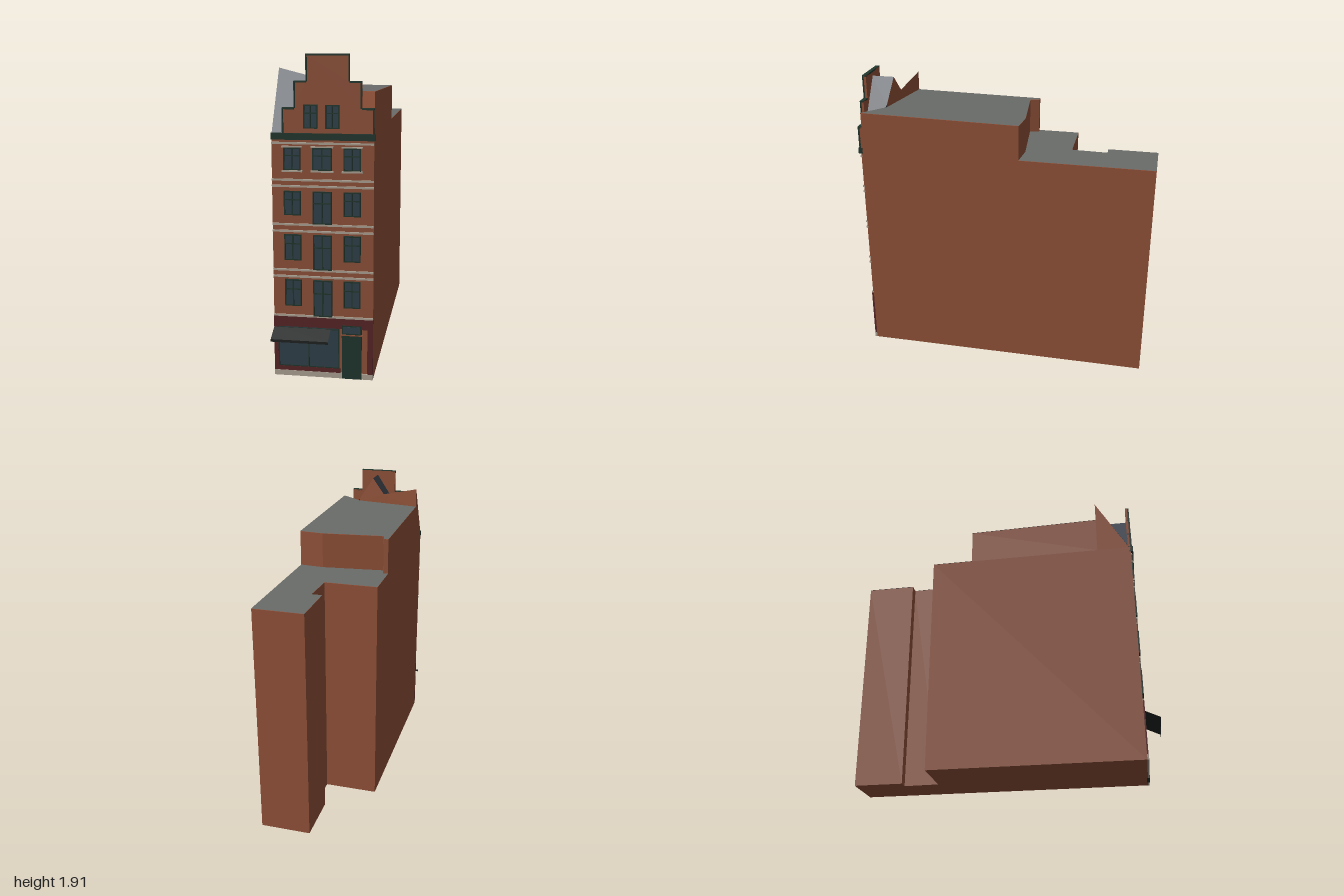
import * as THREE from 'three';

const mat = (color) => new THREE.MeshStandardMaterial({ color, side: THREE.DoubleSide, flatShading: true });

export function createModel() {
  const house = new THREE.Group();
  house.name = 'townHouse';

  const brick = mat(0x96553b), roofGrey = mat(0x6a6c6a), slate = mat(0x454b55), green = mat(0x22382f);
  const glass = mat(0x33444e), stone = mat(0xb5aa9a), red = mat(0x5c282a), cloth = mat(0x222424);

  const add = (name, geometry, material, parent = house) => {
    const mesh = new THREE.Mesh(geometry, material);
    mesh.name = name;
    parent.add(mesh);
    return mesh;
  };

  // Box given by its limits
  const box = (name, x0, x1, y0, y1, z0, z1, material, parent) => {
    const g = new THREE.BoxGeometry(x1 - x0, y1 - y0, z1 - z0);
    g.translate((x0 + x1) / 2, (y0 + y1) / 2, (z0 + z1) / 2);
    return add(name, g, material, parent);
  };

  // Flat polygon from its corners, as a fan
  const polygon = (name, corners, material) => {
    const g = new THREE.BufferGeometry();
    g.setAttribute('position', new THREE.Float32BufferAttribute(corners.flat(), 3));
    const index = [];
    for (let i = 1; i < corners.length - 1; i++) index.push(0, i, i + 1);
    g.setIndex(index);
    g.computeVertexNormals();
    return add(name, g, material);
  };

  // Upright block over an (x, z) plan with a grey roof; the roof may fall to the back
  const block = (name, plan, y0, y1, fall = 0) => {
    const shape = new THREE.Shape(plan.map(([x, z]) => new THREE.Vector2(x, -z)));
    const walls = new THREE.ExtrudeGeometry(shape, { depth: y1 - y0, bevelEnabled: false });
    const cover = new THREE.ShapeGeometry(shape);
    cover.translate(0, 0, y1 - y0 + 0.002);
    for (const g of [walls, cover]) {
      g.rotateX(-Math.PI / 2).translate(0, y0, 0);
      const p = g.attributes.position;
      for (let i = 0; i < p.count; i++) {
        if (p.getY(i) > y1 - 0.001) p.setY(i, p.getY(i) - fall * (0.885 - p.getZ(i)));
      }
      g.computeVertexNormals();
    }
    add(name + 'Walls', walls, brick);
    add(name + 'Roof', cover, roofGrey);
  };

  const L = -0.3, R = 0.295, F = 0.9;

  // Lower block with the rear wing, and the taller front part on it
  block('main', [[L, F], [R, F], [R, -1], [-0.02, -1], [-0.02, -0.68], [0.045, -0.68],
    [0.037, -0.45], [L, -0.45]], 0, 1.463);
  block('upper', [[L, 0.68], [0.14, 0.76], [R, 0.885], [R, -0.145], [0.14, -0.16],
    [-0.255, -0.12], [-0.27, -0.18], [L, -0.18]], 1.463, 1.705, 0.014);

  // Slate slopes behind the gable, with their brick back and side
  const apex = [L, 1.83, 0.68], valley = [-0.05, 1.77, 0.725], foot = [-0.235, 1.47, 0.89];
  const ridgeFront = [0.035, 1.88, 0.89], ridgeBack = [0.035, 1.88, 0.74], hip = [0.14, 1.72, 0.76];
  polygon('frontSlope', [[L, 1.465, 0.89], foot, valley, apex], slate);
  polygon('dormerSlopeLeft', [ridgeFront, ridgeBack, hip, [R, 1.49, 0.885]], slate);
  polygon('dormerSlopeRight', [foot, ridgeFront, ridgeBack, valley], slate);
  polygon('slopeBack', [valley, apex, [L, 1.69, 0.68], [0.14, 1.69, 0.76], hip, ridgeBack], brick);
  polygon('slopeSide', [[L, 1.463, 0.89], apex, [L, 1.463, 0.68]], brick);

  // Stepped gable with dark copings
  const cx = 0.03, z0 = 0.885;
  const steps = [[0.265, 1.61], [0.195, 1.76], [0.125, 1.91]];
  const outline = [];
  let base = 1.463;
  for (const [w, top] of steps) {
    outline.push([cx + w, base], [cx + w, top]);
    base = top;
  }
  const mirrored = outline.map(([x, y]) => [2 * cx - x, y]).reverse();
  const gableShape = new THREE.Shape([...outline, ...mirrored].map(([x, y]) => new THREE.Vector2(x, y)));
  const gable = new THREE.ExtrudeGeometry(gableShape, { depth: F - z0, bevelEnabled: false });
  gable.translate(0, 0, z0);
  add('gable', gable, brick);

  const copings = new THREE.Group();
  copings.name = 'gableCopings';
  house.add(copings);
  const t = 0.007;
  base = 1.463;
  steps.forEach(([w, top], i) => {
    const inner = i < 2 ? steps[i + 1][0] : 0;
    for (const s of [-1, 1]) {
      const a = cx + s * inner, b = cx + s * w, c = cx + s * (w - t);
      box('copingTop', Math.min(a, b), Math.max(a, b), top - t, top + 0.003, z0, 0.911, green, copings);
      box('copingSide', Math.min(b, c), Math.max(b, c), base, top, F - 0.002, 0.911, green, copings);
    }
    base = top;
  });

  // Cornice and stone bands
  box('cornice', L, 0.3, 1.43, 1.468, F - 0.01, 0.916, green);
  for (const y of [1.41, 1.197, 1.16, 0.934, 0.894, 0.66, 0.62, 0.378]) {
    box('stoneBand', L, R, y - 0.006, y + 0.006, F - 0.005, 0.908, stone);
  }

  // Window: glass, frame and glazing bars
  const windowUnit = (name, x0, x1, y0, y1, bar = 0.62) => {
    const g = new THREE.Group();
    g.name = name;
    house.add(g);
    const f = 0.007, mx = (x0 + x1) / 2, my = y0 + (y1 - y0) * bar;
    box('glass', x0, x1, y0, y1, F - 0.005, 0.904, glass, g);
    for (const x of [x0, x1 - f, mx - f / 2]) box('upright', x, x + f, y0, y1, F, 0.911, green, g);
    for (const y of [y0, y1 - f, my]) box('rail', x0, x1, y, y + f, F, 0.911, green, g);
  };

  const columns = [[-0.23, -0.13], [-0.06, 0.052], [0.12, 0.22]];
  const rows = [[0.44, 0.38, 0.602], [0.72, 0.665, 0.875], [0.99, 0.94, 1.132], [1.255, 1.255, 1.385]];
  rows.forEach(([low, midLow, top], r) => columns.forEach(([a, b], c) => {
    windowUnit('window', a, b, c === 1 ? midLow : low, top);
    if (r === 3) {
      box('sill', a - 0.01, b + 0.01, 1.244, 1.254, F - 0.005, 0.912, stone);
      box('lintel', a - 0.01, b + 0.01, 1.386, 1.394, F - 0.005, 0.912, stone);
    }
  }));
  windowUnit('gableWindow', -0.11, -0.03, 1.495, 1.63);
  windowUnit('gableWindow', 0.015, 0.096, 1.495, 1.63);

  // Shop front
  box('plinth', L, R, 0, 0.033, F - 0.005, 0.911, stone);
  box('shopFascia', L, R, 0.31, 0.372, F - 0.005, 0.909, red);
  box('shopPostRight', L, -0.275, 0.033, 0.31, F - 0.005, 0.909, red);
  box('shopPostLeft', 0.262, R, 0.033, 0.31, F - 0.005, 0.909, red);
  box('stallRiser', L, 0.1, 0.033, 0.06, F - 0.005, 0.909, red);
  box('shopGlass', -0.275, 0.095, 0.06, 0.31, F - 0.005, 0.904, glass);
  for (const x of [-0.275, -0.093, 0.088]) box('shopMullion', x, x + 0.007, 0.06, 0.31, F, 0.908, green);
  for (const y of [0.06, 0.299]) box('shopRail', -0.275, 0.095, y, y + 0.006, F, 0.908, green);

  // Door and the light above it
  box('door', 0.11, 0.228, 0, 0.27, F - 0.005, 0.913, green);
  box('doorHead', 0.105, 0.233, 0.27, 0.277, F - 0.005, 0.914, brick);
  box('transomFrame', 0.11, 0.228, 0.277, 0.332, F - 0.005, 0.911, green);
  box('transomGlass', 0.118, 0.22, 0.285, 0.325, F, 0.913, glass);

  // Awning over the shop window
  polygon('awning', [[L, 0.307, F], [0.042, 0.307, F], [0.042, 0.259, 1], [L, 0.259, 1]], cloth);
  polygon('awningValance', [[L, 0.259, 1], [0.042, 0.259, 1], [0.042, 0.243, 1], [L, 0.243, 1]], cloth);

  return house;
}
